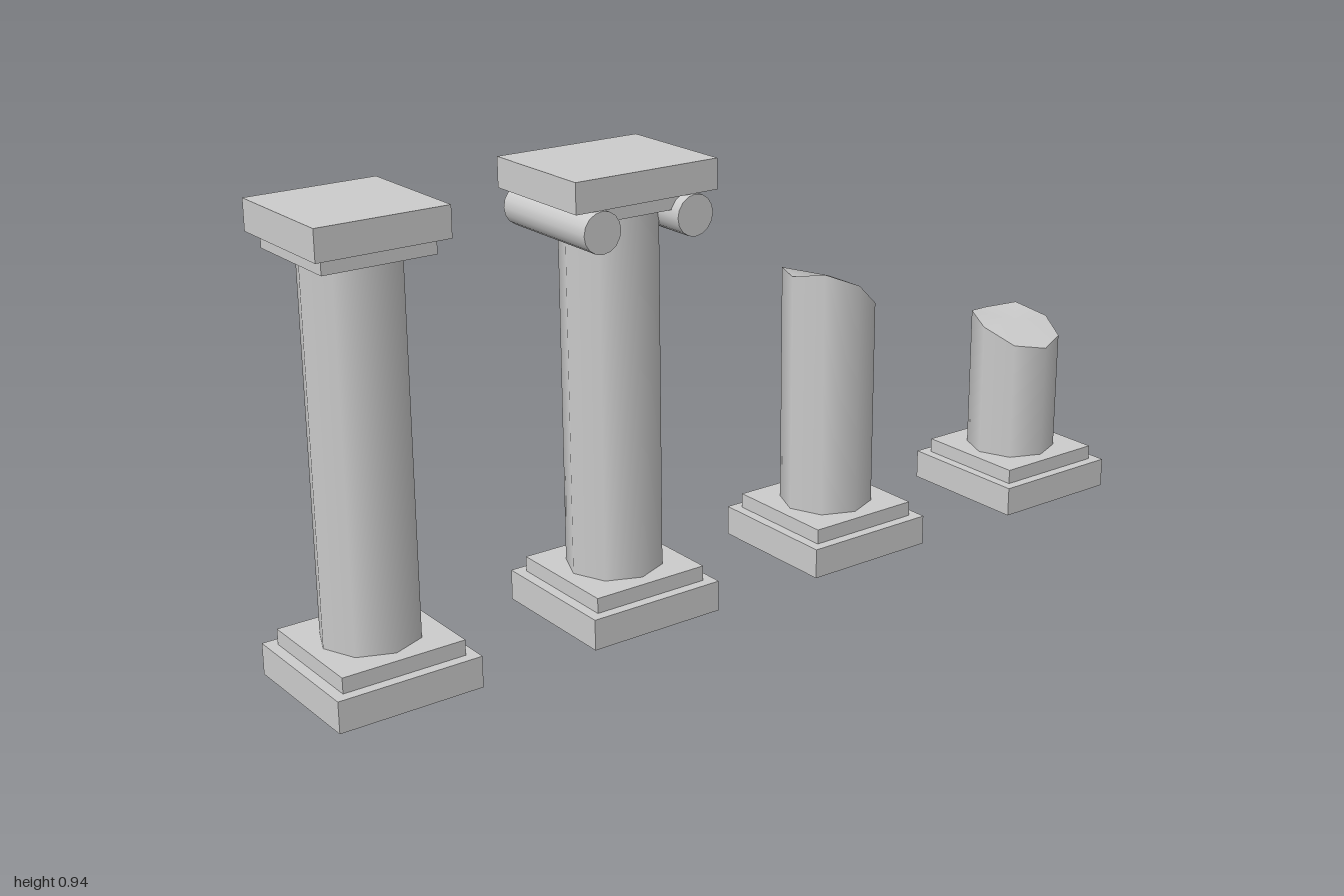
import * as THREE from 'three';

const stone = new THREE.MeshStandardMaterial({ color: 0xcccccc });
const RADIUS = 0.1, SIDES = 8;
const BASE_TOP = 0.097, SHAFT_TOP = 0.85;

function add(parent, name, geometry, x = 0, y = 0, z = 0) {
  const mesh = new THREE.Mesh(geometry, stone);
  mesh.name = name;
  mesh.position.set(x, y, z);
  parent.add(mesh);
  return mesh;
}

// Slab spanning y0 to y1
function slab(parent, name, width, depth, y0, y1) {
  return add(parent, name, new THREE.BoxGeometry(width, y1 - y0, depth), 0, (y0 + y1) / 2);
}

// Two stepped plinth blocks
function addBase(column) {
  slab(column, 'plinth', 0.305, 0.305, 0, 0.065);
  slab(column, 'baseStep', 0.26, 0.26, 0.065, BASE_TOP);
}

function addShaft(column) {
  const height = SHAFT_TOP - BASE_TOP;
  add(column, 'shaft', new THREE.CylinderGeometry(RADIUS, RADIUS, height, SIDES), 0, BASE_TOP + height / 2);
}

// Shaft snapped off: rim heights run from +x towards +z around the octagon
function addBrokenShaft(column, rim, centre) {
  const heightAt = (x, z) => {
    if (Math.hypot(x, z) < RADIUS / 2) return centre;
    const step = Math.round(Math.atan2(z, x) / (Math.PI * 2) * SIDES);
    return rim[(step + SIDES) % SIDES];
  };

  const wall = new THREE.CylinderGeometry(RADIUS, RADIUS, 1, SIDES, 1, true);
  const wp = wall.attributes.position;
  for (let i = 0; i < wp.count; i++) {
    wp.setY(i, wp.getY(i) > 0 ? heightAt(wp.getX(i), wp.getZ(i)) : BASE_TOP);
  }
  add(column, 'brokenShaft', wall);

  const cap = new THREE.CircleGeometry(RADIUS, SIDES).rotateX(-Math.PI / 2);
  const cp = cap.attributes.position;
  for (let i = 0; i < cp.count; i++) cp.setY(i, heightAt(cp.getX(i), cp.getZ(i)));
  cap.computeVertexNormals();
  add(column, 'fracture', cap);
}

// Square capital
function addPlainCapital(column) {
  slab(column, 'capitalStep', 0.23, 0.23, SHAFT_TOP, 0.88);
  slab(column, 'capitalSlab', 0.27, 0.27, 0.88, 0.942);
}

// Wide capital with a roll along each side
function addScrollCapital(column) {
  slab(column, 'capitalStep', 0.23, 0.23, SHAFT_TOP, 0.88);
  slab(column, 'capitalSlab', 0.328, 0.27, 0.88, 0.942);
  for (const side of [-1, 1]) {
    const roll = new THREE.CylinderGeometry(0.042, 0.042, 0.278, 16).rotateX(Math.PI / 2);
    add(column, side > 0 ? 'leftScroll' : 'rightScroll', roll, side * 0.108, 0.838);
  }
}

export function createModel() {
  const model = new THREE.Group();
  model.name = 'columns';

  const builders = [
    ['plainColumn', -0.847, (c) => { addShaft(c); addPlainCapital(c); }],
    ['scrollColumn', -0.285, (c) => { addShaft(c); addScrollCapital(c); }],
    ['tallBrokenColumn', 0.28, (c) => addBrokenShaft(c, [0.515, 0.548, 0.605, 0.635, 0.62, 0.62, 0.57, 0.515], 0.605)],
    ['shortBrokenColumn', 0.847, (c) => addBrokenShaft(c, [0.39, 0.365, 0.355, 0.367, 0.4, 0.417, 0.405, 0.412], 0.398)],
  ];
  for (const [name, x, build] of builders) {
    const column = new THREE.Group();
    column.name = name;
    column.position.x = x;
    addBase(column);
    build(column);
    model.add(column);
  }
  return model;
}
